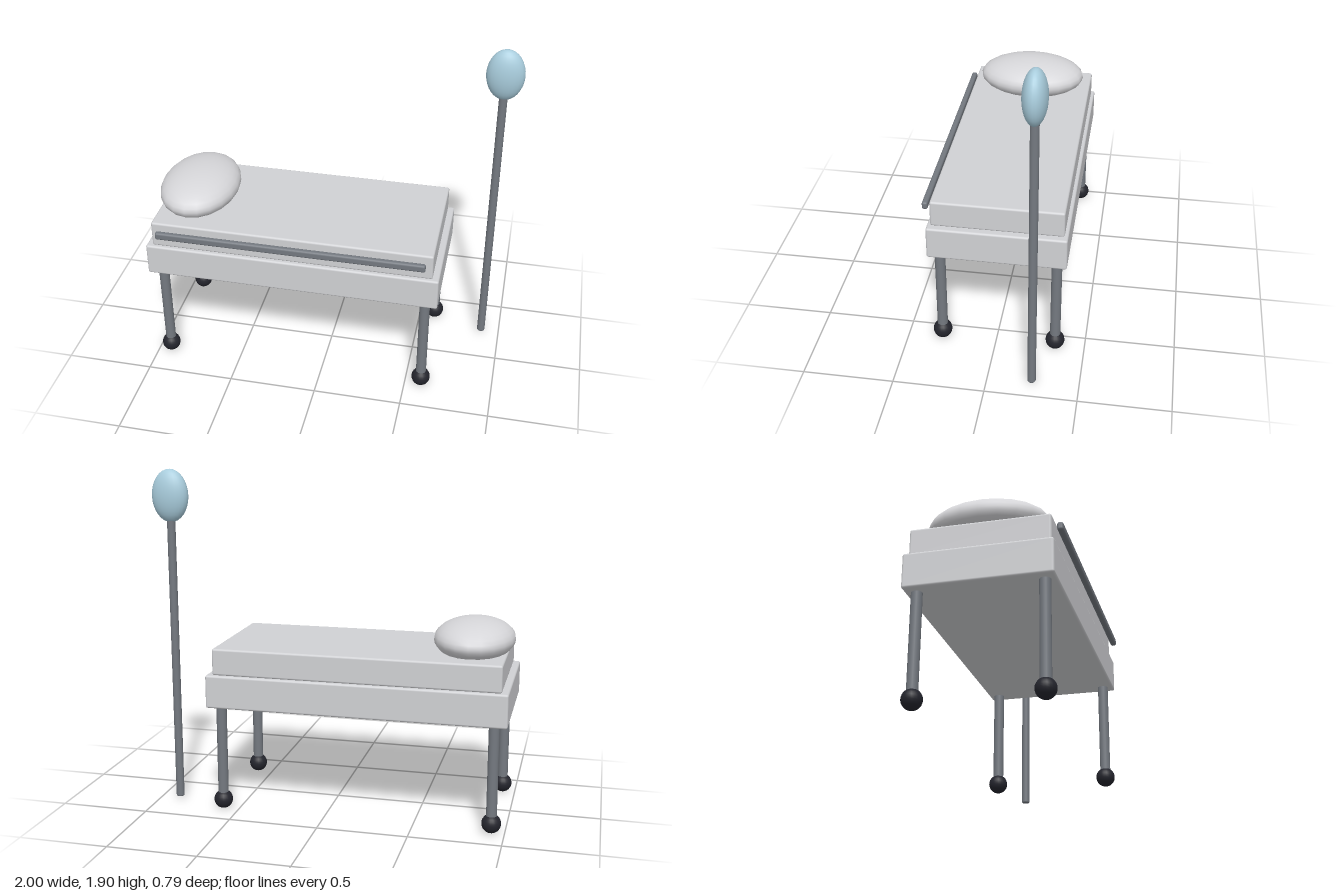
import * as THREE from 'three';
import { RoundedBoxGeometry } from 'three/addons/geometries/RoundedBoxGeometry.js';

function material(name, color) {
  const m = new THREE.MeshStandardMaterial({ color });
  m.name = name;
  return m;
}

export function createModel() {
  const group = new THREE.Group();
  const linen = material('pale grey linen', 0xd0d1d4);
  const pillowCloth = material('pillow cloth', 0xd6d6d9);
  const metal = material('grey metal', 0x747980);
  const rubber = material('black rubber', 0x24252d);
  const blue = material('light blue', 0xa9cddd);

  function add(name, geometry, mat, x, y, z) {
    const mesh = new THREE.Mesh(geometry, mat);
    mesh.name = name;
    mesh.position.set(x, y, z);
    group.add(mesh);
    return mesh;
  }
  const ellipsoid = (rx, ry, rz, w = 24, h = 16) =>
    new THREE.SphereGeometry(1, w, h).scale(rx, ry, rz);

  // Bed base, mattress, pillow and front rail
  const cx = -0.168, cz = -0.015;
  add('bedFrame', new RoundedBoxGeometry(1.664, 0.187, 0.758, 3, 0.012), linen, cx, 0.696, cz);
  add('mattress', new RoundedBoxGeometry(1.592, 0.15, 0.72, 3, 0.012), linen, cx, 0.863, cz);
  add('pillow', ellipsoid(0.223, 0.112, 0.317, 20, 16), pillowCloth, -0.776, 1.0, cz);
  add('sideRail', new RoundedBoxGeometry(1.518, 0.044, 0.032, 3, 0.012), metal, cx, 0.884, 0.379);

  // Legs with ball casters
  for (const sx of [-1, 1]) {
    for (const sz of [-1, 1]) {
      const x = cx + sx * 0.759, z = cz + sz * 0.32;
      add('leg', new THREE.CylinderGeometry(0.029, 0.029, 0.56, 20), metal, x, 0.34, z);
      add('caster', new THREE.SphereGeometry(0.053, 20, 14), rubber, x, 0.055, z);
    }
  }

  // Standing pole with softened ends, and the bag on top
  const r = 0.023, b = 0.007;
  const profile = [[0, 0], [r - b, 0], [r - 0.002, 0.002], [r, b], [r, 1.61], [0, 1.62]]
    .map(([x, y]) => new THREE.Vector2(x, y));
  add('pole', new THREE.LatheGeometry(profile, 20), metal, 0.892, 0.012, -0.243);
  add('fluidBag', ellipsoid(0.104, 0.146, 0.063), blue, 0.893, 1.759, -0.243);

  return group;
}
